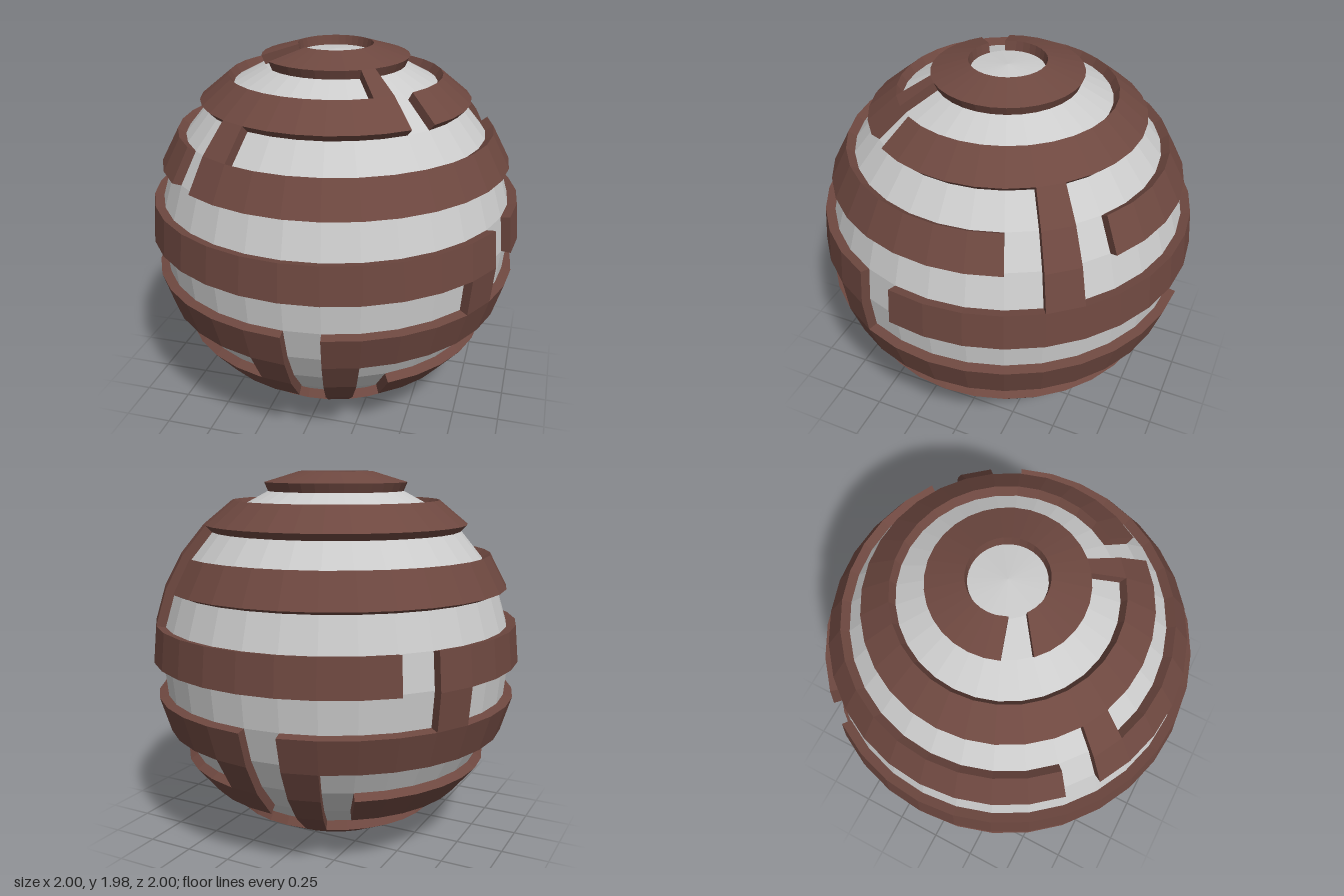
import * as THREE from 'three';

// The globe is a grid of 32 columns (from +z towards +x) and 16 rows (from the top down).
const COLS = 32, ROWS = 16;
const OUTER = 1, INNER = 0.95;

const wrap = c => (c + COLS) % COLS;
const key = (row, col) => row * COLS + wrap(col);

// Raised bands: row and the columns left open as gaps.
const bands = [
  { row: 1, gaps: [26, 27] },
  { row: 3, gaps: [4] },
  { row: 5, gaps: [28, 10, 12] },
  { row: 7, gaps: [6, 20] },
  { row: 9, gaps: [0, 16] },
  { row: 11, gaps: [0, 2, 16, 18] },
  { row: 13, gaps: [24, 25] },
  { row: 15, gaps: [] },
];

// Raised bridges between the bands: rows and column.
const bridges = [
  { rows: [2], col: 3 },
  { rows: [4], col: 29 },
  { rows: [4, 6], col: 11 },
  { rows: [8], col: 5 },
  { rows: [8], col: 21 },
  { rows: [10], col: 31 },
  { rows: [10], col: 15 },
  { rows: [10, 12], col: 1 },
  { rows: [10, 12], col: 17 },
];

// The gap next to the top keeps its width instead of narrowing to the pole.
const skew = { 26: 0.5, 28: 0.75 };

function point(row, col, r) {
  const shift = row === 1 ? skew[wrap(col)] || 0 : 0;
  const lat = Math.PI / 2 - (row / ROWS) * Math.PI;
  const lon = ((col + shift) / COLS) * Math.PI * 2;
  return [
    r * Math.cos(lat) * Math.sin(lon),
    r * Math.sin(lat),
    r * Math.cos(lat) * Math.cos(lon),
  ];
}

// Outer plates for the cells, with walls wherever the next cell is not raised.
function plates(cells, raised) {
  const pos = [];
  const quad = (a, b, c, d) => pos.push(...a, ...b, ...d, ...b, ...c, ...d);
  for (const [row, col] of cells) {
    const corners = [[row, col], [row + 1, col], [row + 1, col + 1], [row, col + 1]];
    const out = corners.map(([r, c]) => point(r, c, OUTER));
    const low = corners.map(([r, c]) => point(r, c, INNER - 0.01));
    if (row === ROWS - 1) pos.push(...out[0], ...out[1], ...out[3]);
    else quad(...out);
    const next = [[row, col - 1], [row + 1, col], [row, col + 1], [row - 1, col]];
    next.forEach(([r, c], i) => {
      if (r >= ROWS || raised.has(key(r, c))) return;
      const j = (i + 1) % 4;
      quad(out[i], low[i], low[j], out[j]);
    });
  }
  const geo = new THREE.BufferGeometry();
  geo.setAttribute('position', new THREE.Float32BufferAttribute(pos, 3));
  geo.computeVertexNormals();
  return geo;
}

export function createModel() {
  const model = new THREE.Group();
  model.name = 'mazeGlobe';
  const grey = new THREE.MeshStandardMaterial({ color: 0xcccccc, flatShading: true });
  const brown = new THREE.MeshStandardMaterial({ color: 0x6e4840, flatShading: true });

  const add = (name, geo, mat) => {
    const mesh = new THREE.Mesh(geo, mat);
    mesh.name = name;
    mesh.position.y = 1;
    model.add(mesh);
  };

  // Inner ball
  add('core', new THREE.SphereGeometry(INNER, COLS, ROWS), grey);

  // List the cells of every raised part
  const parts = bands.map(({ row, gaps }, i) => {
    const cells = [];
    for (let c = 0; c < COLS; c++) if (!gaps.includes(c)) cells.push([row, c]);
    return { name: row === ROWS - 1 ? 'bottomCap' : `band${i + 1}`, cells };
  });
  // A bridge across a gapped band also fills its own column of that band, already listed there
  bridges.forEach(({ rows, col }, i) =>
    parts.push({ name: `bridge${i + 1}`, cells: rows.map(r => [r, col]) }));

  const raised = new Set(parts.flatMap(p => p.cells.map(([r, c]) => key(r, c))));
  for (const { name, cells } of parts) add(name, plates(cells, raised), brown);

  return model;
}
